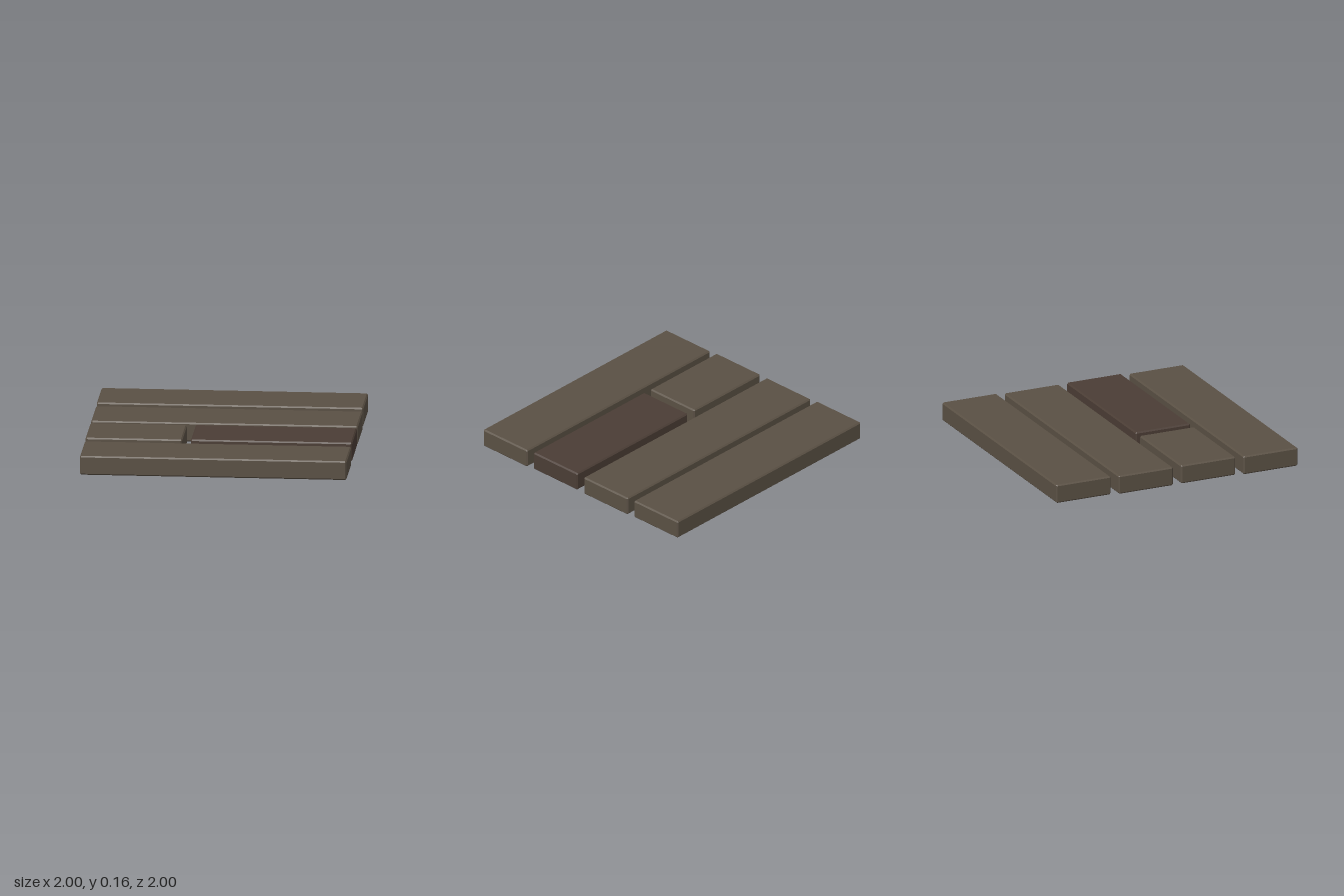
import * as THREE from 'three';
import { ConvexGeometry } from 'three/addons/geometries/ConvexGeometry.js';

const BEVEL = 0.01;
const THICK = 0.145;
const GAP = 0.0645;
const WIDTH = (2 - 3 * GAP) / 4;

// Box with every edge cut by a small flat chamfer
function chamferedBox(w, h, d, c) {
  const points = [];
  for (const x of [-1, 1]) for (const y of [-1, 1]) for (const z of [-1, 1]) {
    for (let axis = 0; axis < 3; axis++) {
      const inset = [0, 1, 2].map((i) => (i === axis ? 0 : c));
      points.push(new THREE.Vector3(
        x * (w / 2 - inset[0]), y * (h / 2 - inset[1]), z * (d / 2 - inset[2])));
    }
  }
  return new ConvexGeometry(points);
}

export function createModel() {
  const group = new THREE.Group();
  group.name = 'plankFloor';
  const wood = new THREE.MeshStandardMaterial({ color: 0x5a5044 });
  const darkWood = new THREE.MeshStandardMaterial({ color: 0x4b3d35 });

  // Rows run from back to front, each lying at a slightly different height
  const planks = [
    { name: 'backPlank', row: 0, x0: -1, x1: 1, y: 0.014, material: wood },
    { name: 'middlePlank', row: 1, x0: -1, x1: 1, y: 0.006, material: wood },
    { name: 'shortPlank', row: 2, x0: -1, x1: -0.275, y: 0.008, material: wood },
    { name: 'darkPlank', row: 2, x0: -0.21, x1: 1, y: 0.01, material: darkWood },
    { name: 'frontPlank', row: 3, x0: -1, x1: 1, y: 0, material: wood },
  ];
  for (const { name, row, x0, x1, y, material } of planks) {
    const plank = new THREE.Mesh(chamferedBox(x1 - x0, THICK, WIDTH, BEVEL), material);
    plank.name = name;
    plank.position.set((x0 + x1) / 2, y + THICK / 2, -1 + WIDTH / 2 + row * (WIDTH + GAP));
    group.add(plank);
  }
  return group;
}
